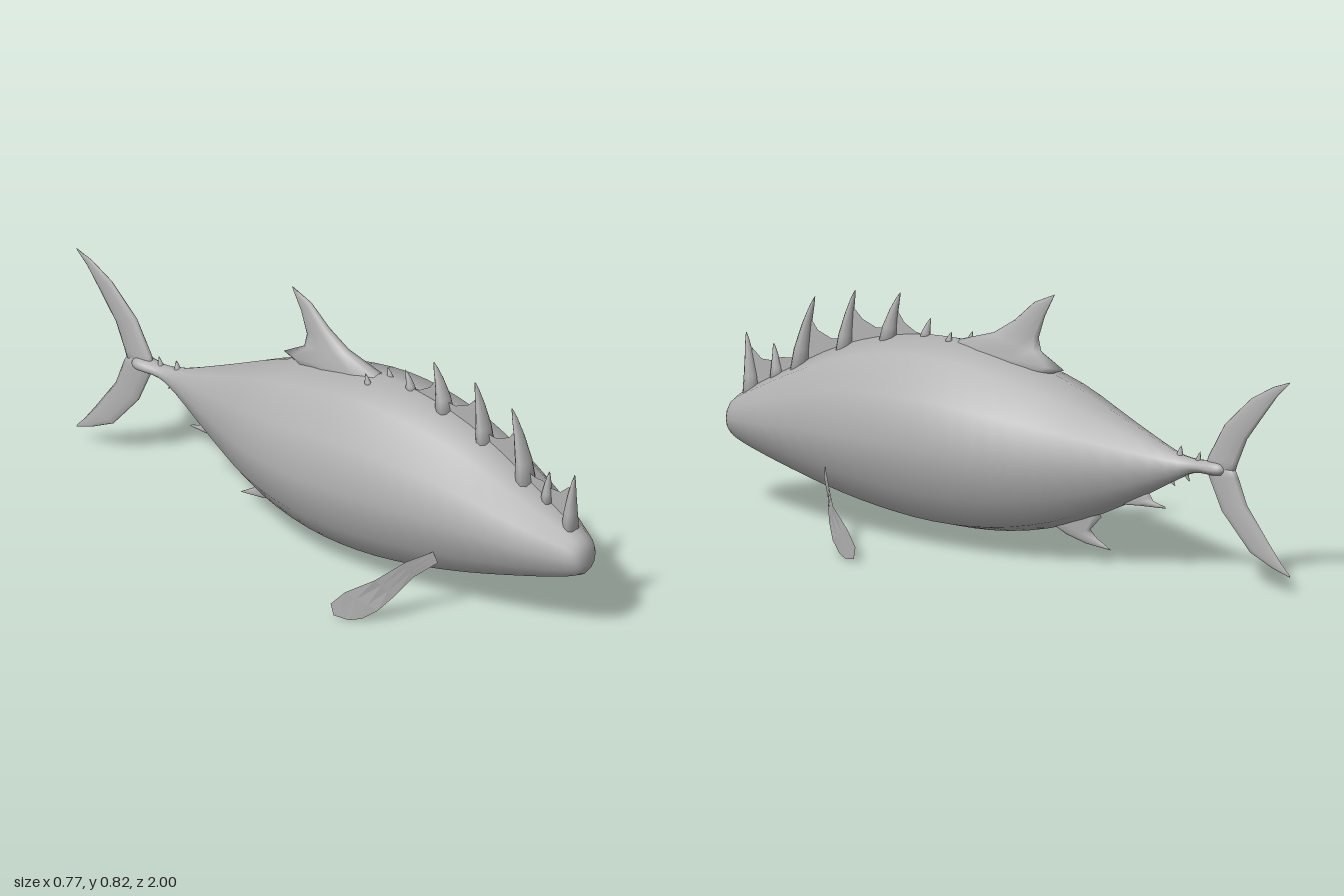
import * as THREE from 'three';

const skin = new THREE.MeshStandardMaterial({ color: 0xb2b2b2 });
skin.name = 'greySkin';
const thinSkin = new THREE.MeshStandardMaterial({ color: 0xb2b2b2, side: THREE.DoubleSide });
thinSkin.name = 'greyThinSkin';

// Closed smooth skin through rings of Vector3, capped at both ends.
function loft(rings) {
  const n = rings[0].length;
  const pts = rings.flat();
  const middle = (ring) => ring.reduce((s, p) => s.add(p), new THREE.Vector3()).divideScalar(n);
  const first = pts.push(middle(rings[0])) - 1;
  const last = pts.push(middle(rings[rings.length - 1])) - 1;
  const index = [];
  for (let j = 0; j < n; j++) {
    const k = (j + 1) % n;
    for (let i = 0; i < rings.length - 1; i++) {
      const a = i * n + j, b = i * n + k;
      index.push(a, b, b + n, a, b + n, a + n);
    }
    const end = (rings.length - 1) * n;
    index.push(first, k, j, last, end + j, end + k);
  }
  // Turn the faces outward if the rings ran the other way
  let volume = 0;
  for (let i = 0; i < index.length; i += 3) {
    const [a, b, c] = [pts[index[i]], pts[index[i + 1]], pts[index[i + 2]]];
    volume += a.dot(b.clone().cross(c));
  }
  if (volume < 0) index.reverse();
  const geo = new THREE.BufferGeometry().setFromPoints(pts);
  geo.setIndex(index);
  geo.computeVertexNormals();
  return geo;
}

// Fin from sections [leadZ, leadY, trailZ, trailY, halfThickness] with a lens profile.
function finGeometry(sections, x = 0) {
  const sides = 10;
  return loft(sections.map(([lz, ly, tz, ty, t]) =>
    Array.from({ length: sides }, (_, j) => {
      const a = (j / sides) * Math.PI * 2;
      const u = Math.pow(0.5 - 0.5 * Math.cos(a), 1.3);
      return new THREE.Vector3(x + t * Math.sin(a), ly + (ty - ly) * u, lz + (tz - lz) * u);
    })));
}

// Twelve-sided body from stations [z, top, bottom, halfWidth].
function bodyGeometry() {
  const stations = [
    [1.0, 0.30, 0.255, 0.02], [0.985, 0.335, 0.225, 0.05], [0.93, 0.375, 0.2, 0.08],
    [0.8, 0.45, 0.163, 0.137], [0.6, 0.555, 0.11, 0.197], [0.4, 0.615, 0.07, 0.232],
    [0.2, 0.634, 0.05, 0.247], [0, 0.608, 0.06, 0.237], [-0.2, 0.555, 0.107, 0.193],
    [-0.4, 0.47, 0.195, 0.112], [-0.58, 0.395, 0.295, 0.042], [-0.66, 0.378, 0.335, 0.027],
    [-0.73, 0.382, 0.338, 0.035], [-0.76, 0.378, 0.342, 0.028], [-0.772, 0.365, 0.355, 0.01],
  ];
  const spline = (f) => new THREE.CatmullRomCurve3(
    stations.map((s) => new THREE.Vector3(...f(s))), false, 'catmullrom', 0.5);
  const heights = spline(([z, top, bottom]) => [z, top, bottom]);
  const widths = spline(([z, , , w]) => [z, w, 0]);
  const rings = [];
  const steps = (stations.length - 1) * 3;
  for (let i = 0; i <= steps; i++) {
    const h = heights.getPoint(i / steps), w = widths.getPoint(i / steps).y;
    rings.push(Array.from({ length: 12 }, (_, j) => {
      const a = (j / 12) * Math.PI * 2;
      return new THREE.Vector3(w * Math.sin(a), (h.y + h.z) / 2 + (h.y - h.z) / 2 * Math.cos(a), h.x);
    }));
  }
  return loft(rings);
}

// Thin curved side fin, bent back along z as it reaches outward.
function pectoralGeometry(side) {
  const upper = [[0.185, 0.225], [0.25, 0.2], [0.32, 0.145], [0.365, 0.095], [0.384, 0.05], [0.38, 0.012]];
  const lower = [[0.175, 0.187], [0.23, 0.145], [0.28, 0.085], [0.315, 0.04], [0.34, 0.01], [0.36, 0.002]];
  const bend = [[0.17, 0.56], [0.21, 0.52], [0.27, 0.48], [0.32, 0.43], [0.36, 0.36], [0.386, 0.305]];
  const zAt = (x) => {
    const i = Math.max(1, bend.findIndex((b) => b[0] >= x));
    const [x0, z0] = bend[i - 1], [x1, z1] = bend[i];
    return z0 + (z1 - z0) * (x - x0) / (x1 - x0);
  };
  const pts = [], index = [], across = 3;
  upper.forEach(([ux, uy], i) => {
    for (let k = 0; k <= across; k++) {
      const x = ux + (lower[i][0] - ux) * k / across;
      pts.push(new THREE.Vector3(side * x, uy + (lower[i][1] - uy) * k / across, zAt(x)));
      if (i && k) {
        const d = i * (across + 1) + k, b = d - across - 1;
        const quad = [b - 1, d - 1, d, b - 1, d, b];
        index.push(...(side > 0 ? quad.reverse() : quad));
      }
    }
  });
  const geo = new THREE.BufferGeometry().setFromPoints(pts);
  geo.setIndex(index);
  const flat = geo.toNonIndexed();
  flat.computeVertexNormals();
  return flat;
}

// Swept-back spine: base and tip positions, base depth and half width.
function spineGeometry([z, y, tipZ, tipY, depth, half, x = 0]) {
  const rows = [[0, 1, 1], [0.3, 0.78, 0.82], [0.65, 0.45, 0.5], [0.88, 0.22, 0.25], [1, 0.04, 0.05]];
  return finGeometry(rows.map(([u, d, t]) => {
    const cz = z + (tipZ - z) * u ** 1.7, cy = y + (tipY - y) * u;
    return [cz + depth * d / 2, cy, cz - depth * d / 2, cy, half * t];
  }), x);
}

export function createModel() {
  const model = new THREE.Group();
  model.name = 'fish';
  const add = (parent, name, geo, material = skin) => {
    const mesh = new THREE.Mesh(geo, material);
    mesh.name = name;
    parent.add(mesh);
  };

  add(model, 'body', bodyGeometry());

  // Tail
  add(model, 'upperTailFin', finGeometry([
    [-0.7, 0.355, -0.8, 0.35, 0.016], [-0.705, 0.39, -0.812, 0.385, 0.014],
    [-0.765, 0.5, -0.845, 0.465, 0.012], [-0.86, 0.595, -0.91, 0.555, 0.008],
    [-0.94, 0.642, -0.958, 0.62, 0.005], [-0.999, 0.664, -0.995, 0.656, 0.001]]));
  add(model, 'lowerTailFin', finGeometry([
    [-0.7, 0.365, -0.8, 0.37, 0.016], [-0.71, 0.33, -0.815, 0.34, 0.014],
    [-0.755, 0.23, -0.845, 0.26, 0.012], [-0.855, 0.115, -0.925, 0.15, 0.008],
    [-0.94, 0.075, -0.967, 0.095, 0.005], [-0.999, 0.056, -0.996, 0.064, 0.001]]));

  // Rear dorsal fin and the two fins under the tail
  add(model, 'rearDorsalFin', finGeometry([
    [0.17, 0.58, -0.1, 0.55, 0.038], [0.195, 0.628, -0.19, 0.587, 0.034],
    [0.06, 0.67, -0.11, 0.632, 0.024], [-0.015, 0.72, -0.1, 0.675, 0.017],
    [-0.085, 0.785, -0.122, 0.745, 0.01], [-0.157, 0.818, -0.15, 0.803, 0.002]]));
  add(model, 'analFin', finGeometry([
    [-0.15, 0.15, -0.29, 0.19, 0.025], [-0.13, 0.115, -0.325, 0.15, 0.022],
    [-0.2, 0.08, -0.285, 0.105, 0.015], [-0.27, 0.06, -0.31, 0.08, 0.008],
    [-0.36, 0.05, -0.35, 0.056, 0.001]]));
  add(model, 'smallBellyFin', finGeometry([
    [-0.41, 0.23, -0.49, 0.26, 0.016], [-0.4, 0.2, -0.5, 0.24, 0.015],
    [-0.46, 0.205, -0.51, 0.225, 0.01], [-0.555, 0.208, -0.55, 0.214, 0.001]]));

  // Front dorsal spines: base z, base y, tip z, tip y, depth, half width, x
  const spines = new THREE.Group();
  spines.name = 'frontDorsalSpines';
  model.add(spines);
  [
    [0.925, 0.36, 0.945, 0.545, 0.05, 0.029], [0.835, 0.42, 0.847, 0.525, 0.04, 0.02],
    [0.75, 0.455, 0.7, 0.69, 0.055, 0.039], [0.592, 0.53, 0.556, 0.73, 0.05, 0.036],
    [0.435, 0.59, 0.395, 0.745, 0.055, 0.032], [0.305, 0.615, 0.285, 0.682, 0.035, 0.016],
    [0.21, 0.62, 0.2, 0.655, 0.025, 0.01, 0.018], [0.175, 0.61, 0.165, 0.648, 0.025, 0.01, -0.045],
  ].forEach((s, i) => add(spines, `spine${i + 1}`, spineGeometry(s)));

  // Thin webs behind the spines, outlined in z and y
  [
    [[0.925, 0.5], [0.89, 0.47], [0.85, 0.47], [0.82, 0.485], [0.79, 0.487], [0.75, 0.5], [0.75, 0.41], [0.92, 0.34]],
    [[0.72, 0.63], [0.69, 0.588], [0.64, 0.568], [0.59, 0.575], [0.59, 0.52], [0.74, 0.44]],
    [[0.565, 0.68], [0.53, 0.645], [0.48, 0.625], [0.44, 0.63], [0.44, 0.56], [0.58, 0.52]],
    [[0.405, 0.69], [0.38, 0.655], [0.34, 0.632], [0.3, 0.625], [0.3, 0.59], [0.43, 0.57]],
  ].forEach((outline, i) => {
    const shape = new THREE.Shape(outline.map(([z, y]) => new THREE.Vector2(z, y)));
    add(spines, `web${i + 1}`, new THREE.ShapeGeometry(shape).rotateY(-Math.PI / 2), thinSkin);
  });

  // Tiny finlets above and below the tail stalk
  [
    [-0.605, 0.375, -0.61, 0.412, 0.025, 0.012], [-0.67, 0.365, -0.678, 0.403, 0.022, 0.01],
    [-0.57, 0.315, -0.588, 0.283, 0.025, 0.012], [-0.625, 0.335, -0.64, 0.305, 0.022, 0.01],
  ].forEach((s, i) => add(model, `finlet${i + 1}`, spineGeometry(s)));

  // Side fins
  add(model, 'leftPectoralFin', pectoralGeometry(1), thinSkin);
  add(model, 'rightPectoralFin', pectoralGeometry(-1), thinSkin);
  return model;
}
